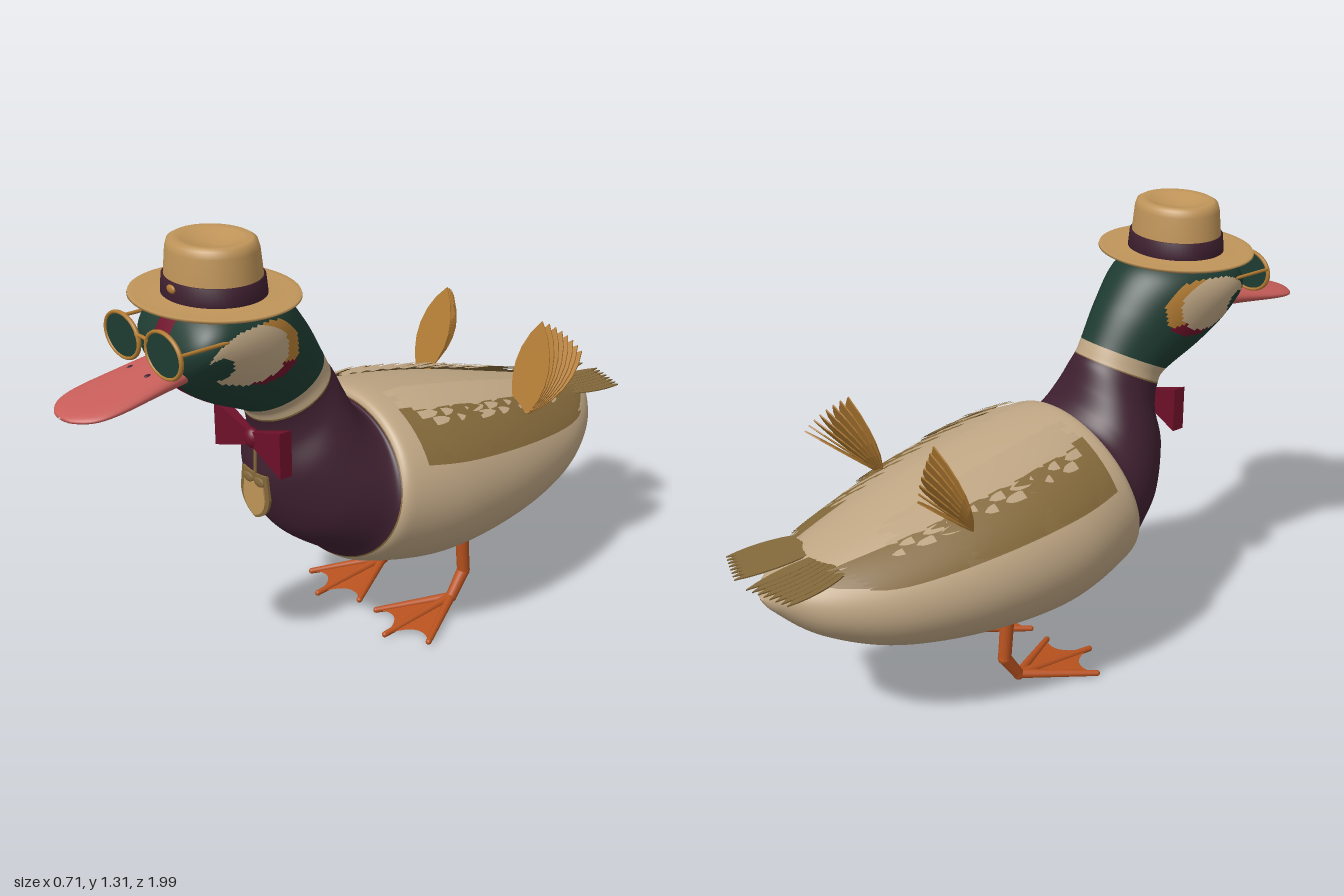
import * as THREE from 'three';
import { mergeGeometries } from 'three/addons/utils/BufferGeometryUtils.js';

const V = (x, y, z) => new THREE.Vector3(x, y, z);
const mat = (name, color, side = THREE.FrontSide) => {
  const m = new THREE.MeshStandardMaterial({ color, side });
  m.name = name;
  return m;
};

// A skin is a row of elliptical sections: [topZ, topY, bottomZ, bottomY, halfWidth]
function makeSkin(sections) {
  const n = sections.length - 1;
  const curve = f => new THREE.CatmullRomCurve3(sections.map(f), false, 'catmullrom', 0.5);
  const top = curve(s => V(s[4], s[1], s[0]));
  const bottom = curve(s => V(0, s[3], s[2]));
  const point = (k, a, off = 0) => {
    const t = top.getPoint(k / n), b = bottom.getPoint(k / n);
    const w = Math.max(t.x, 0.001);
    const hy = (t.y - b.y) / 2, hz = (t.z - b.z) / 2, H = Math.hypot(hy, hz) || 0.001;
    const normal = V(Math.sin(a) * H, Math.cos(a) * w * hy / H, Math.cos(a) * w * hz / H).normalize();
    return V(w * Math.sin(a), (t.y + b.y) / 2 + hy * Math.cos(a), (t.z + b.z) / 2 + hz * Math.cos(a))
      .addScaledVector(normal, off);
  };
  return { n, point };
}

// Closed loft over a skin, with each face painted by a rule
function loft(skin, rings, sides, materials, paint = () => 0) {
  const pos = [], lists = materials.map(() => []);
  for (let i = 0; i <= rings; i++)
    for (let j = 0; j < sides; j++) pos.push(...skin.point(i / rings * skin.n, j / sides * Math.PI * 2).toArray());
  for (let i = 0; i < rings; i++)
    for (let j = 0; j < sides; j++) {
      const k = (i + 0.5) / rings * skin.n;
      const id = paint(k, skin.point(k, (j + 0.5) / sides * Math.PI * 2));
      const p = i * sides + j, q = i * sides + (j + 1) % sides;
      lists[id].push(p, p + sides, q, q, p + sides, q + sides);
    }
  const g = new THREE.BufferGeometry();
  g.setAttribute('position', new THREE.Float32BufferAttribute(pos, 3));
  g.setIndex(lists.flat());
  let start = 0;
  lists.forEach((l, m) => { g.addGroup(start, l.length, m); start += l.length; });
  g.computeVertexNormals();
  return new THREE.Mesh(g, materials);
}

// Pointed feather lying in xy, growing along +y
function feather(length, width, thick = 0.004) {
  const s = new THREE.Shape();
  s.moveTo(-width * 0.2, 0);
  s.bezierCurveTo(-width * 0.6, length * 0.3, -width * 0.55, length * 0.7, 0, length);
  s.bezierCurveTo(width * 0.55, length * 0.7, width * 0.6, length * 0.3, width * 0.2, 0);
  return new THREE.ExtrudeGeometry(s, { depth: thick, bevelEnabled: false, curveSegments: 6 });
}

function rod(a, b, r0, r1) {
  const g = new THREE.CylinderGeometry(r1, r0, a.distanceTo(b), 14);
  g.applyQuaternion(new THREE.Quaternion().setFromUnitVectors(V(0, 1, 0), b.clone().sub(a).normalize()));
  return g.translate((a.x + b.x) / 2, (a.y + b.y) / 2, (a.z + b.z) / 2);
}

export function createModel() {
  const model = new THREE.Group();
  model.name = 'duck';
  const D = THREE.DoubleSide;
  const cream = mat('cream', 0xbfa684, D), straw = mat('straw', 0xbf9459), plum = mat('plum', 0x3f2030),
    green = mat('green', 0x1e3b31, D), crimson = mat('crimson', 0x6e1029), pink = mat('pink', 0xc75d59),
    orange = mat('orange', 0xb9521f, D), olive = mat('olive', 0x84693b, D), ochre = mat('ochre', 0xb07a32, D);
  const add = (parent, name, geometry, material) => {
    const m = new THREE.Mesh(geometry, material);
    m.name = name;
    parent.add(m);
    return m;
  };

  // Body, neck and head in one smooth skin
  const skin = makeSkin([
    [-0.935, 0.492, -0.935, 0.488, 0.004], [-0.9, 0.535, -0.905, 0.445, 0.065], [-0.78, 0.57, -0.8, 0.35, 0.17],
    [-0.6, 0.62, -0.62, 0.265, 0.265], [-0.35, 0.69, -0.37, 0.215, 0.335], [-0.1, 0.745, -0.1, 0.2, 0.355],
    [0.06, 0.765, 0.13, 0.25, 0.32], [0.09, 0.735, 0.21, 0.305, 0.28], [0.12, 0.765, 0.34, 0.41, 0.235],
    [0.145, 0.82, 0.405, 0.57, 0.185], [0.165, 0.87, 0.4, 0.69, 0.145], [0.18, 0.895, 0.42, 0.775, 0.13],
    [0.2, 0.935, 0.455, 0.81, 0.13], [0.26, 1.04, 0.57, 0.865, 0.155], [0.345, 1.14, 0.65, 0.92, 0.178],
    [0.46, 1.175, 0.69, 0.97, 0.182], [0.57, 1.18, 0.705, 1.0, 0.165], [0.65, 1.145, 0.71, 1.03, 0.115],
    [0.7, 1.078, 0.7, 1.074, 0.002]]);
  const inside = (p, z, y, rz, ry) => ((p.z - z) / rz) ** 2 + ((p.y - y) / ry) ** 2 < 1;
  const paint = (k, p) => {
    if (k < 6.55) return 0;
    if (k < 6.64 || (k > 10.9 && k < 11)) return 4;
    if (k < 10.9) return 1;
    if (k < 12) return 0;
    if (Math.abs(p.x) < 0.032 && p.z > 0.56) return 3;
    if (Math.abs(p.x) > 0.07) {
      if (inside(p, 0.625, 1.015, 0.035, 0.035)) return 2;
      if (inside(p, 0.53, 1.03, 0.125, 0.08)) return 0;
      if (inside(p, 0.475, 1.025, 0.115, 0.085)) return p.y > 0.985 ? 5 : 3;
    }
    return 2;
  };
  const body = loft(skin, 216, 112, [cream, plum, green, crimson, olive, ochre], paint);
  body.name = 'bodyNeckHead';
  model.add(body);

  // Bill
  const bill = loft(makeSkin([[0.66, 1.03, 0.66, 0.95, 0.085], [0.75, 1.01, 0.75, 0.945, 0.095],
    [0.88, 0.98, 0.88, 0.935, 0.105], [0.95, 0.963, 0.95, 0.93, 0.09], [0.99, 0.95, 0.99, 0.932, 0.045],
    [1, 0.943, 1, 0.939, 0.004]]), 40, 36, [pink]);
  bill.name = 'bill';
  model.add(bill);

  // Straw hat
  const hat = new THREE.Group();
  hat.name = 'hat';
  hat.position.z = 0.525;
  hat.scale.z = 0.87;
  model.add(hat);
  const lathe = pts => new THREE.LatheGeometry(pts.map(p => new THREE.Vector2(...p)), 56);
  add(hat, 'brim', lathe([[0.1, 1.158], [0.17, 1.151], [0.235, 1.153], [0.248, 1.159], [0.246, 1.165],
    [0.23, 1.163], [0.17, 1.163], [0.1, 1.17]]), straw);
  add(hat, 'crown', lathe([[0.147, 1.16], [0.141, 1.22], [0.134, 1.285], [0.128, 1.304], [0.115, 1.311],
    [0.09, 1.308], [0.055, 1.295], [0.02, 1.29], [0, 1.289]]), straw);
  add(hat, 'ribbon', lathe([[0.14, 1.163], [0.153, 1.165], [0.148, 1.213], [0.138, 1.214]]), plum);
  add(hat, 'buckle', new THREE.SphereGeometry(0.018, 16, 10).scale(1, 0.65, 0.4).translate(0, 1.197, 0.151), ochre);

  // Bow tie
  const bow = new THREE.Group();
  bow.name = 'bowTie';
  bow.position.set(0, 0.713, 0.42);
  model.add(bow);
  add(bow, 'knot', new THREE.SphereGeometry(0.03, 20, 14).scale(0.9, 1, 0.7), crimson);
  for (const s of [-1, 1]) {
    const g = new THREE.BoxGeometry(0.14, 1, 1, 6, 1, 1).translate(0.08, 0, 0);
    const p = g.attributes.position;
    for (let i = 0; i < p.count; i++) {
      const t = (p.getX(i) - 0.01) / 0.14;
      p.setXYZ(i, p.getX(i), p.getY(i) * (0.045 + 0.09 * t), p.getZ(i) * (0.018 + 0.022 * t));
    }
    g.computeVertexNormals();
    add(bow, 'bowLoop', g.rotateZ(s < 0 ? Math.PI : 0), crimson);
  }

  // Hanging badge
  const shield = k => {
    const s = new THREE.Shape();
    s.moveTo(0, -0.075 * k);
    s.quadraticCurveTo(0.06 * k, -0.055 * k, 0.066 * k, 0);
    s.lineTo(0.056 * k, 0.07 * k);
    s.quadraticCurveTo(0, 0.055 * k, -0.056 * k, 0.07 * k);
    s.lineTo(-0.066 * k, 0);
    s.quadraticCurveTo(-0.06 * k, -0.055 * k, 0, -0.075 * k);
    return new THREE.ExtrudeGeometry(s, { depth: 0.008, bevelEnabled: false });
  };
  add(model, 'badgeCord', rod(V(0, 0.7, 0.41), V(0, 0.6, 0.415), 0.005, 0.005), olive);
  add(model, 'badge', shield(1).translate(0, 0.54, 0.41), olive);
  add(model, 'badgeFace', shield(0.75).translate(0, 0.53, 0.414), straw);
  for (const s of [-1, 1])
    add(model, 'badgeOval', new THREE.SphereGeometry(0.024, 14, 8).scale(1, 0.6, 0.2).translate(s * 0.025, 0.585, 0.421), olive);

  // Shingled plates that follow the body skin
  const kAt = z => {
    let lo = 0, hi = 6.5;
    for (let i = 0; i < 24; i++) {
      const m = (lo + hi) / 2;
      if ((skin.point(m, 0).z + skin.point(m, Math.PI).z) / 2 < z) lo = m; else hi = m;
    }
    return lo;
  };
  const plate = (z0, z1, a0, a1, off0, off1, nu = 8) => {
    const g = new THREE.PlaneGeometry(1, 1, 6, nu), p = g.attributes.position;
    for (let i = 0; i < p.count; i++) {
      const u = p.getY(i) + 0.5, v = p.getX(i);
      const w = u < 0.6 ? 1 : Math.sqrt(Math.max(0.01, 1 - ((u - 0.6) / 0.4) ** 2));
      const q = skin.point(kAt(z0 + (z1 - z0) * u), (a0 + a1) / 2 + (a1 - a0) * v * w, off0 + (off1 - off0) * u);
      p.setXYZ(i, q.x, q.y, q.z);
    }
    g.computeVertexNormals();
    return g;
  };

  const half = new THREE.Group();
  half.name = 'leftSide';

  // Folded wing
  add(half, 'wing', plate(0.05, -0.82, 0.5, 1.12, 0.01, 0.01, 30), olive);
  const quills = [], scales = [];
  [[0.04, 0.3, 6], [-0.16, 0.36, 6], [-0.38, 0.42, 7]].forEach(([z, len, n]) => {
    for (let i = 0; i < n; i++) {
      const a = 0.55 + 0.53 * i / n;
      quills.push(plate(z - 0.015 * i, z - len + 0.012 * i, a, a + 0.115, 0.012, 0.023));
    }
  });
  add(half, 'wingQuills', mergeGeometries(quills), olive);
  for (let r = 0; r < 9; r++)
    for (let c = 0; c < 6; c++) {
      const z = 0.04 - r * 0.067 - (c % 2) * 0.03, a = 0.24 + c * 0.082;
      scales.push(plate(z, z - 0.115, a, a + 0.088, 0.008, 0.022));
    }
  add(half, 'shoulderScales', mergeGeometries(scales), cream);

  // Raised wing-tip fan
  const fan = [];
  for (let i = 0; i < 8; i++) {
    const t = i / 7;
    fan.push(feather(0.275 - 0.02 * t, 0.145 - 0.02 * t).rotateZ(0.06 - 0.28 * t).rotateX(-0.33 - 0.55 * t));
  }
  add(half, 'wingTipFan', mergeGeometries(fan).translate(0.222, 0.625, -0.425), ochre);

  // Tail feathers
  const tail = [];
  for (let i = 0; i < 8; i++)
    tail.push(feather(0.235 - 0.006 * i, 0.04).rotateX(-Math.PI / 2 - 0.06)
      .rotateY(-0.06 - 0.018 * i).translate(0.018 + 0.0155 * i, 0.566 - 0.001 * i, -0.755));
  add(half, 'tailFeathers', mergeGeometries(tail), olive);

  // Eye
  add(half, 'eye', new THREE.SphereGeometry(0.026, 20, 14).scale(0.5, 1, 1).translate(0.166, 1.073, 0.57), green);
  // Nostril
  add(half, 'nostril', new THREE.SphereGeometry(0.008, 10, 8).scale(0.8, 0.5, 1.4).translate(0.04, 1.002, 0.765), plum);

  // Spectacles
  add(half, 'rim', new THREE.TorusGeometry(0.078, 0.0065, 10, 44).scale(1, 0.77, 1).translate(0.095, 1.07, 0.75), ochre);
  add(half, 'lens', new THREE.CylinderGeometry(0.077, 0.077, 0.005, 40).rotateX(Math.PI / 2)
    .scale(1, 0.77, 1).translate(0.095, 1.07, 0.75), green);
  add(half, 'temple', rod(V(0.171, 1.09, 0.75), V(0.171, 1.09, 0.54), 0.005, 0.005), ochre);
  add(half, 'bridge', rod(V(0, 1.092, 0.75), V(0.03, 1.09, 0.75), 0.005, 0.005), ochre);

  // Leg and webbed foot
  const hip = V(0.16, 0.26, -0.243), heel = V(0.16, 0.11, -0.256), ankle = V(0.16, 0.034, -0.205);
  const toes = [V(0.04, 0.011, 0.0), V(0.16, 0.009, 0.07), V(0.278, 0.011, 0.0)];
  const ball = (c, r) => new THREE.SphereGeometry(r, 14, 10).translate(c.x, c.y, c.z);
  add(half, 'leg', mergeGeometries([rod(hip, heel, 0.021, 0.02), ball(heel, 0.0205), rod(heel, ankle, 0.02, 0.017),
    ball(ankle, 0.018)]), orange);
  add(half, 'toes', mergeGeometries(toes.flatMap(t => [rod(ankle, t, 0.014, 0.009), ball(t, 0.009)])), orange);
  for (const [a, b] of [[toes[0], toes[1]], [toes[1], toes[2]]]) {
    const edge = new THREE.QuadraticBezierCurve3(a, a.clone().add(b).multiplyScalar(0.5).lerp(ankle, 0.38), b).getPoints(10);
    const g = new THREE.BufferGeometry().setFromPoints([ankle, ...edge]);
    g.setIndex(edge.slice(1).flatMap((_, i) => [0, i + 1, i + 2]));
    g.computeVertexNormals();
    add(half, 'web', g, orange);
  }

  const other = half.clone();
  other.name = 'rightSide';
  other.scale.x = -1;
  model.add(half, other);
  return model;
}
